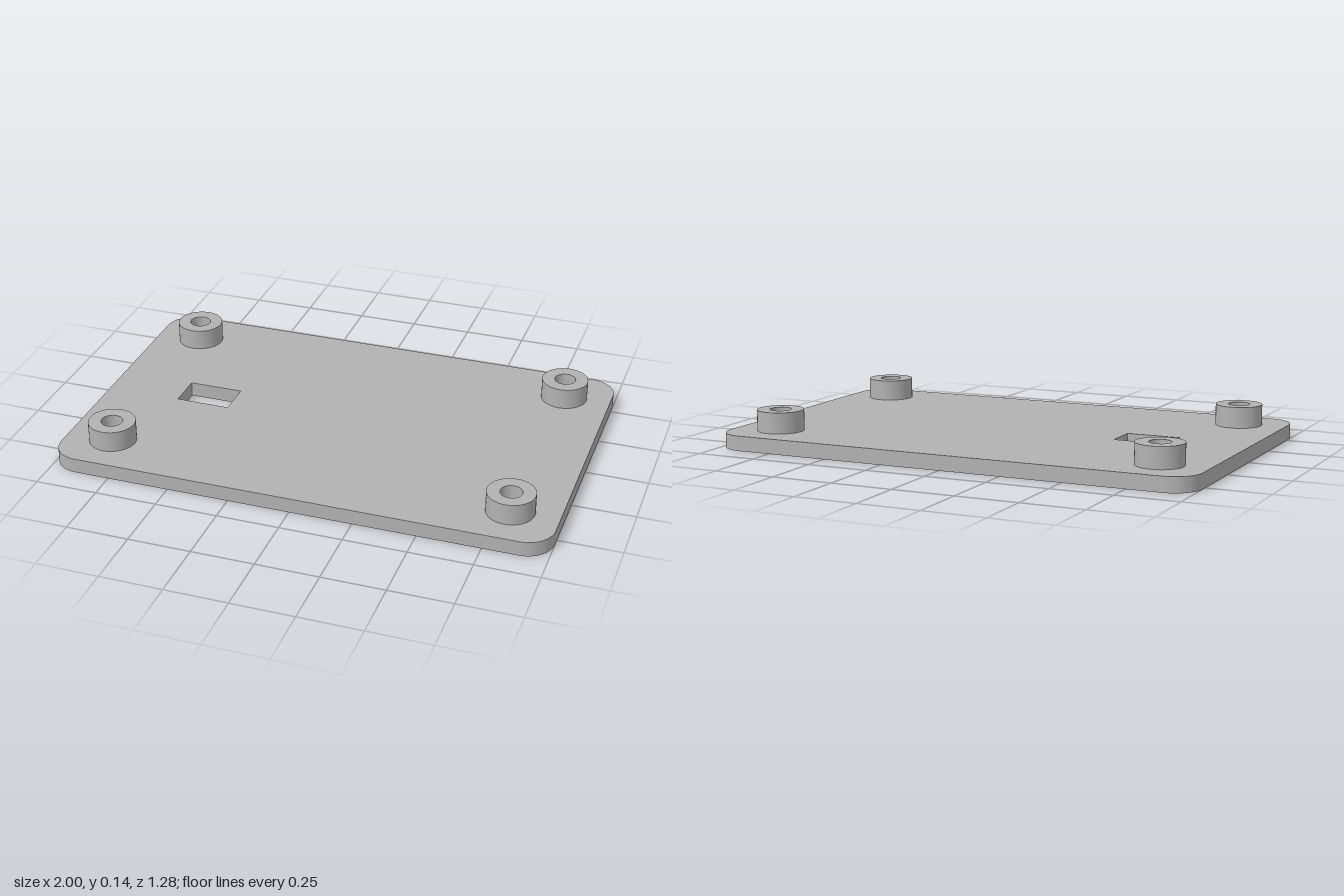
import * as THREE from 'three';
import { toCreasedNormals } from 'three/addons/utils/BufferGeometryUtils.js';

const HALF_X = 1, HALF_Z = 0.64, CORNER = 0.11;
const PLATE_H = 0.06, BOSS_H = 0.085;
const BOSS_X = 0.81, BOSS_Z = 0.453, BOSS_R = 0.094, HOLE_R = 0.043;

// Extrude a plan shape upwards, keeping round walls smooth and edges sharp
function extrudeUp(shape, height) {
  const geometry = new THREE.ExtrudeGeometry(shape, { depth: height, bevelEnabled: false, curveSegments: 20 });
  geometry.rotateX(-Math.PI / 2);
  return toCreasedNormals(geometry, Math.PI / 6);
}

function circleHole(x, y) {
  return new THREE.Path().absarc(x, y, HOLE_R, 0, Math.PI * 2, true);
}

export function createModel() {
  const group = new THREE.Group();
  group.name = 'mountingPlate';
  const grey = new THREE.MeshStandardMaterial({ color: 0xb2b2b2 });
  grey.name = 'plainGrey';

  // Rounded plate outline
  const outline = new THREE.Shape();
  const ix = HALF_X - CORNER, iz = HALF_Z - CORNER;
  [[ix, iz], [-ix, iz], [-ix, -iz], [ix, -iz]].forEach(([x, y], i) => {
    outline.absarc(x, y, CORNER, i * Math.PI / 2, (i + 1) * Math.PI / 2, false);
  });
  outline.closePath();

  // Rectangular slot
  outline.holes.push(new THREE.Path([
    [-0.695, -0.072], [-0.695, 0.072], [-0.475, 0.072], [-0.475, -0.072],
  ].map(([x, y]) => new THREE.Vector2(x, y))));

  // Ring-shaped standoffs over matching screw holes
  const ring = new THREE.Shape().absarc(0, 0, BOSS_R, 0, Math.PI * 2, false);
  ring.holes.push(circleHole(0, 0));
  const bossGeometry = extrudeUp(ring, BOSS_H);
  for (const sx of [-1, 1]) {
    for (const sz of [-1, 1]) {
      outline.holes.push(circleHole(sx * BOSS_X, -sz * BOSS_Z));
      const boss = new THREE.Mesh(bossGeometry, grey);
      boss.name = `${sz > 0 ? 'front' : 'back'}${sx > 0 ? 'Left' : 'Right'}Standoff`;
      boss.position.set(sx * BOSS_X, PLATE_H, sz * BOSS_Z);
      group.add(boss);
    }
  }

  const plate = new THREE.Mesh(extrudeUp(outline, PLATE_H), grey);
  plate.name = 'basePlate';
  group.add(plate);
  return group;
}
